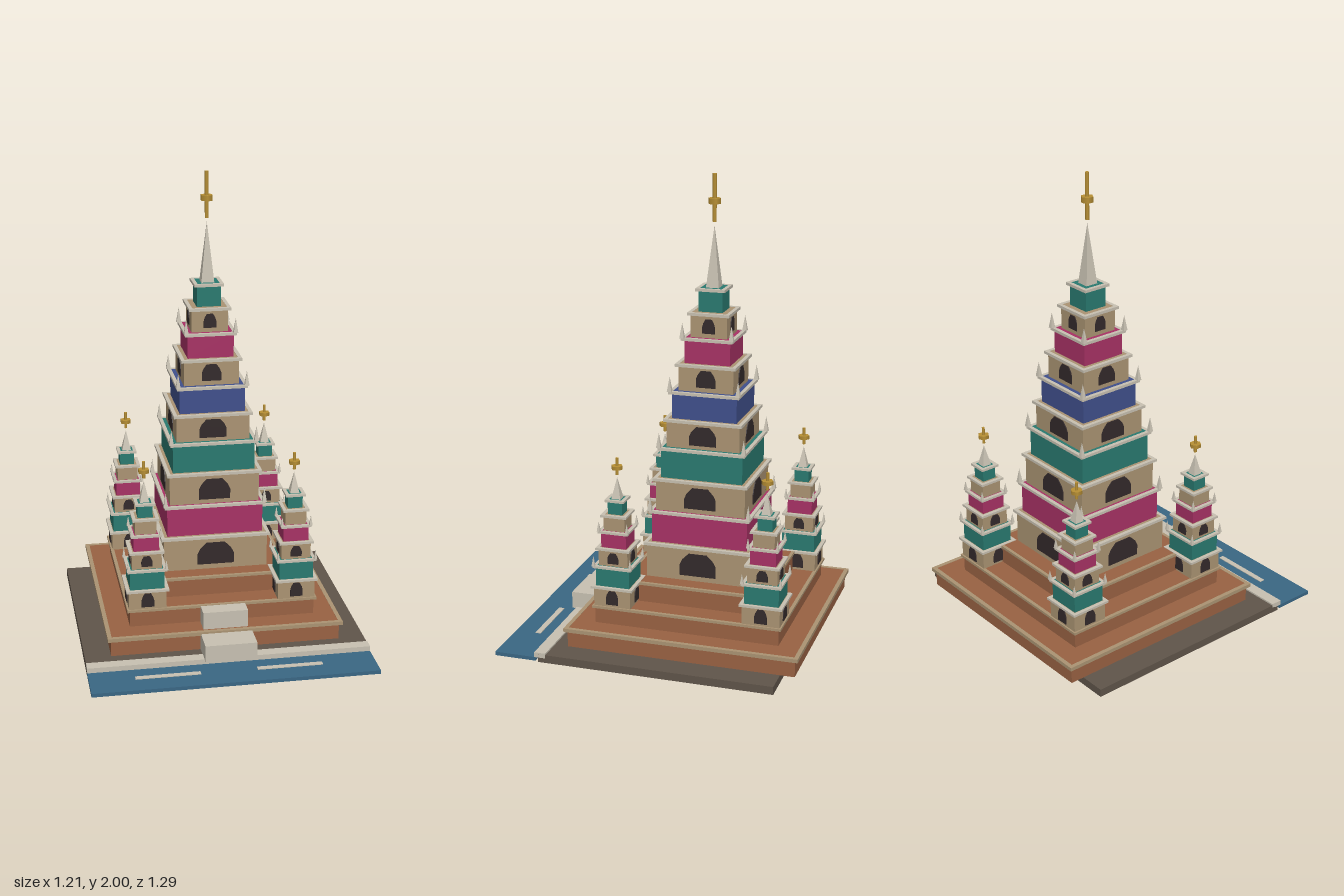
import * as THREE from 'three';

const mat = (name, color) => Object.assign(new THREE.MeshStandardMaterial({ color }), { name });
const M = {
  stone: mat('paleStone', 0xc8c1b2), tan: mat('sandstone', 0xab9473), brick: mat('brick', 0x996243),
  ground: mat('earth', 0x60554a), water: mat('water', 0x3a6784), teal: mat('teal', 0x2a7a70),
  magenta: mat('magenta', 0xa83265), blue: mat('blue', 0x40508c), gold: mat('gold', 0xb89035),
  dark: mat('doorwayDark', 0x332a2b),
};
const CZ = -0.1365; // temple centre

function add(parent, name, geo, material, x = 0, y = 0, z = 0) {
  const m = new THREE.Mesh(geo, material);
  m.name = name;
  m.position.set(x, y, z);
  parent.add(m);
  return m;
}

// box given by its extents
function block(parent, name, material, x0, x1, y0, y1, z0, z1) {
  return add(parent, name, new THREE.BoxGeometry(x1 - x0, y1 - y0, z1 - z0), material,
    (x0 + x1) / 2, (y0 + y1) / 2, (z0 + z1) / 2);
}

// square storey with a ledge of four bars around its top
function storey(parent, name, half, y0, y1, material, ledgeMat, over, thick) {
  block(parent, name, material, -half, half, y0, y1, -half, half);
  const o = half + over, i = half - 0.004, b = y1 - thick, t = y1 + 0.001;
  for (const [n, f] of [[-o, -i], [i, o]]) {
    block(parent, name + 'Ledge', ledgeMat, -o, o, b, t, n, f);
    block(parent, name + 'Ledge', ledgeMat, n, f, b, t, -i, i);
  }
}

// four-sided spike with faces square to the axes
function spike(parent, name, half, h, x, y, z) {
  const geo = new THREE.ConeGeometry(half * Math.SQRT2, h, 4).toNonIndexed();
  geo.rotateY(Math.PI / 4);
  geo.computeVertexNormals();
  add(parent, name, geo, M.stone, x, y + h / 2, z);
}

// arched doorway plate on each of the four sides
function doorways(parent, half, w, y0, y1) {
  const h = y1 - y0;
  const s = new THREE.Shape([[-w, 0], [w, 0], [w, h * 0.48], [w * 0.85, h * 0.72], [w * 0.5, h],
    [-w * 0.5, h], [-w * 0.85, h * 0.72], [-w, h * 0.48]].map(p => new THREE.Vector2(...p)));
  const geo = new THREE.ExtrudeGeometry(s, { depth: 0.004, bevelEnabled: false });
  geo.translate(0, y0, half);
  for (let i = 0; i < 4; i++) add(parent, 'doorway', geo, M.dark).rotation.y = i * Math.PI / 2;
}

function finial(parent, y0, y1, yRing, r, rPole, hRing) {
  add(parent, 'finialPole', new THREE.CylinderGeometry(rPole, rPole, y1 - y0, 6), M.gold, 0, (y0 + y1) / 2, 0);
  add(parent, 'finialRing', new THREE.CylinderGeometry(r, r, hRing, 6), M.gold, 0, yRing, 0);
}

// levels: [half width, base height, colour, doorway [half width, bottom, top]]
function tower(name, levels, top, over, thick, pin, spire, fin) {
  const g = new THREE.Group();
  g.name = name;
  levels.forEach(([half, y0, color, door], i) => {
    const last = i === levels.length - 1;
    const y1 = last ? top : levels[i + 1][1];
    storey(g, 'storey', half, y0, y1, M[color], M.stone, over, thick);
    if (door) doorways(g, half, ...door);
    // corner pinnacles above every coloured storey
    if (color !== 'tan' && !last) {
      const c = half + over - pin[0] * 0.5;
      for (const sx of [-1, 1]) for (const sz of [-1, 1])
        spike(g, 'pinnacle', pin[0], pin[1], sx * c, y1, sz * c);
    }
  });
  spike(g, 'spire', spire[0], spire[1], 0, top, 0);
  finial(g, ...fin);
  return g;
}

export function createModel() {
  const model = new THREE.Group();
  model.name = 'temple';

  // ground, quay and water
  block(model, 'ground', M.ground, -0.607, 0.607, 0, 0.035, -0.57, 0.45);
  block(model, 'quay', M.stone, -0.607, 0.607, 0.02, 0.042, 0.417, 0.467);
  block(model, 'water', M.water, -0.607, 0.607, 0.004, 0.02, 0.462, 0.645);
  for (const [x0, x1] of [[-0.415, -0.14], [0.1, 0.38]])
    block(model, 'ripple', M.stone, x0, x1, 0.019, 0.023, 0.531, 0.555);

  // stepped terraces
  const terraces = new THREE.Group();
  terraces.name = 'terraces';
  terraces.position.z = CZ;
  storey(terraces, 'lowerTerrace', 0.495, 0.035, 0.12, M.brick, M.tan, 0.014, 0.015);
  storey(terraces, 'middleTerrace', 0.402, 0.12, 0.199, M.brick, M.tan, 0.011, 0.01);
  storey(terraces, 'upperTerrace', 0.304, 0.198, 0.287, M.brick, M.tan, 0.01, 0.01);
  model.add(terraces);

  // entrance steps
  block(model, 'lowerStep', M.stone, -0.111, 0.111, 0.036, 0.112, 0.35, 0.487);
  block(model, 'upperStep', M.stone, -0.097, 0.097, 0.12, 0.197, 0.255, 0.346);

  // central tower
  const main = tower('mainTower', [
    [0.228, 0.285, 'tan', [0.08, 0.31, 0.41]],
    [0.21, 0.442, 'magenta'],
    [0.196, 0.582, 'tan', [0.069, 0.602, 0.695]],
    [0.179, 0.724, 'teal'],
    [0.16, 0.857, 'tan', [0.059, 0.873, 0.955]],
    [0.142, 0.979, 'blue'],
    [0.12, 1.097, 'tan', [0.042, 1.117, 1.19]],
    [0.1, 1.213, 'magenta'],
    [0.079, 1.322, 'tan', [0.027, 1.341, 1.402]],
    [0.052, 1.427, 'teal'],
  ], 1.526, 0.012, 0.011, [0.01, 0.066], [0.028, 0.26], [1.8, 2, 1.887, 0.027, 0.009, 0.024]);
  main.position.z = CZ;
  model.add(main);

  // four corner towers
  for (const sx of [-1, 1]) for (const sz of [-1, 1]) {
    const t = tower('cornerTower', [
      [0.081, 0.198, 'tan', [0.027, 0.21, 0.272]],
      [0.074, 0.288, 'teal'],
      [0.064, 0.378, 'tan', [0.024, 0.39, 0.437]],
      [0.055, 0.457, 'magenta'],
      [0.046, 0.53, 'tan'],
      [0.032, 0.6, 'teal'],
    ], 0.664, 0.011, 0.009, [0.007, 0.045], [0.02, 0.092], [0.767, 0.842, 0.8, 0.025, 0.007, 0.016]);
    t.position.set(sx * 0.324, 0, CZ + sz * 0.325);
    model.add(t);
  }
  return model;
}
